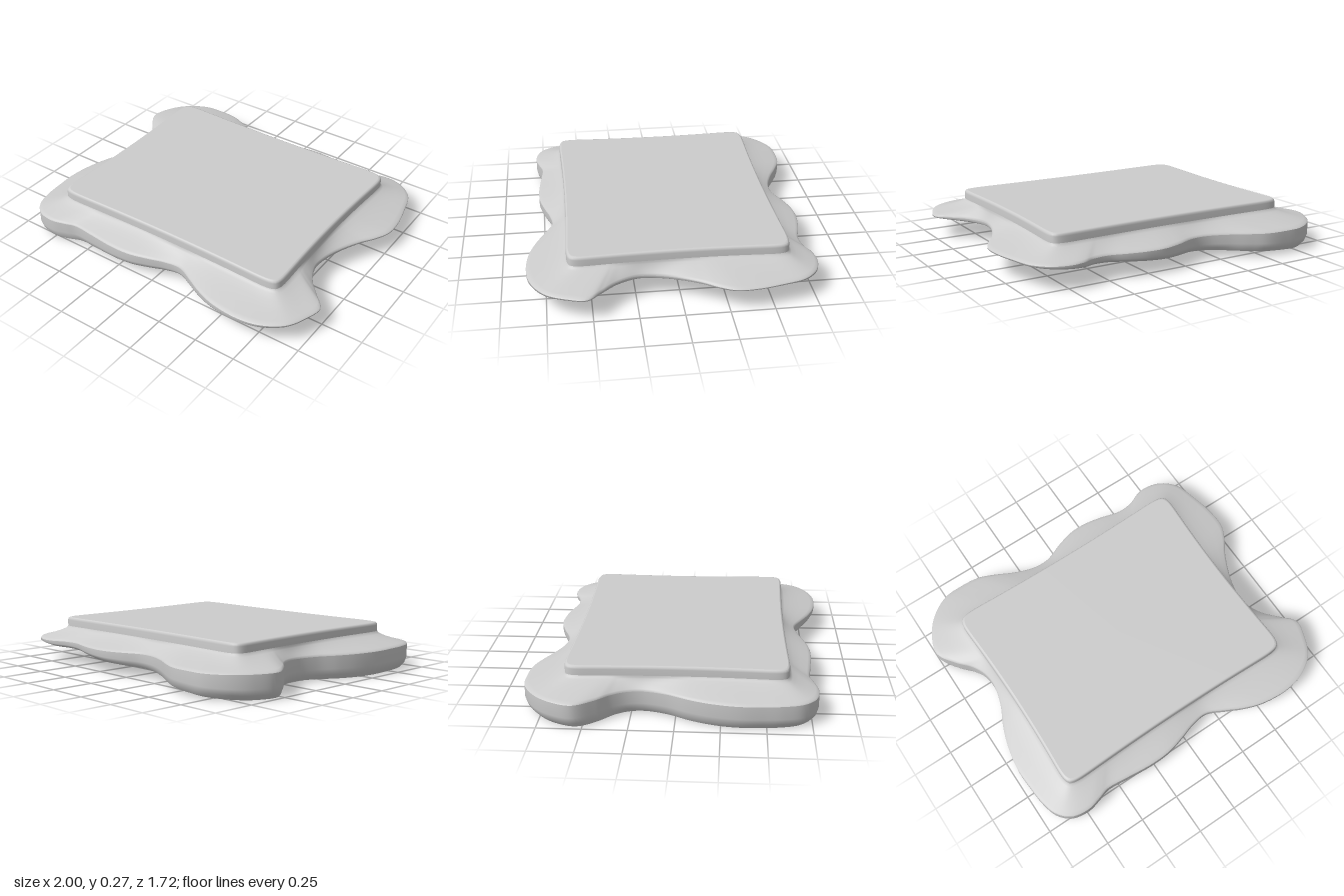
import * as THREE from 'three';

// wavy rim outline, pairs of x, z
const RIM = [
  1, -.28, 1, -.4, .97, -.55, .93, -.68, .85, -.76, .75, -.79, .67, -.78, .6, -.75, .5, -.74, .38, -.77,
  .27, -.79, .16, -.79, .05, -.76, -.08, -.71, -.18, -.71, -.3, -.75, -.42, -.81, -.52, -.85, -.65, -.86, -.76, -.85,
  -.88, -.78, -.96, -.68, -1, -.55, -.93, -.43, -.86, -.35, -.82, -.27, -.81, -.18, -.84, -.05, -.9, .08, -.94, .2,
  -.965, .35, -.96, .5, -.95, .6, -.92, .7, -.85, .77, -.74, .79, -.65, .77, -.58, .75, -.45, .76, -.28, .775,
  -.15, .77, -.03, .74, .07, .71, .17, .7, .28, .75, .38, .8, .5, .84, .67, .855, .8, .83, .92, .75,
  .98, .63, 1, .53, .93, .45, .85, .36, .8, .25, .8, .17, .83, .05, .9, -.1, .96, -.19,
];
const N = 360;

// surface through closed rings, ordered from the top down
function loft(rings) {
  const pos = [], index = [];
  rings.forEach(ring => ring.forEach(p => pos.push(p.x, p.y, p.z)));
  for (let r = 0; r < rings.length - 1; r++) {
    for (let i = 0; i < N; i++) {
      const a = r * N + i, b = r * N + (i + 1) % N;
      index.push(a, b, a + N, b, b + N, a + N);
    }
  }
  const g = new THREE.BufferGeometry();
  g.setAttribute('position', new THREE.Float32BufferAttribute(pos, 3));
  g.setIndex(index);
  g.computeVertexNormals();
  return g;
}

// plate edge in the direction of p: rounded rectangle, slightly pinched mid-side
function plateEdge(p) {
  const u = Math.abs(p.x) / .785, v = Math.abs(p.z) / .635;
  const ratio = Math.min(u, v) / Math.max(u, v);
  const size = Math.pow(u ** 20 + v ** 20, -1 / 20);
  return p.clone().multiplyScalar(size * (1 - .03 * (1 - ratio * ratio)));
}

// sloping underside, higher towards +x
const underY = x => Math.max(0, .062 + .067 * x);

export function createModel() {
  const model = new THREE.Group();
  const grey = new THREE.MeshStandardMaterial({ color: 0xcccccc });
  grey.name = 'light grey';
  const add = (name, geometry) => {
    const mesh = new THREE.Mesh(geometry, grey);
    mesh.name = name;
    model.add(mesh);
    return mesh;
  };

  const points = [];
  for (let i = 0; i < RIM.length; i += 2) points.push(new THREE.Vector3(RIM[i], 0, RIM[i + 1]));
  const rim = new THREE.CatmullRomCurve3(points.reverse(), true).getSpacedPoints(N).slice(0, N);
  const edge = rim.map(plateEdge);
  const plateRing = (s, y) => edge.map(p => new THREE.Vector3(p.x * s, y, p.z * s));
  const skirtRing = (t, y) => edge.map((p, i) => p.clone().lerp(rim[i], t).setY(y));
  // ring on the rim wall; k = 0 at the rim, 1 at the underside
  const wallRing = (s, k) => rim.map(p =>
    new THREE.Vector3(p.x * s, THREE.MathUtils.lerp(.14, underY(p.x * s), k), p.z * s));

  // flat top plate with a softened edge
  add('topPlate', loft([plateRing(0, .27), plateRing(.98, .27)]));
  add('plateEdge', loft([
    plateRing(.98, .27), plateRing(.99, .268), plateRing(.997, .262), plateRing(1, .252), plateRing(1, .215),
  ]));

  // skirt flaring out to the wavy rim
  add('skirt', loft([
    [0, .215], [.03, .206], [.1, .198], [.3, .183], [.6, .166], [.88, .153], [.97, .147], [1, .14],
  ].map(([t, y]) => skirtRing(t, y))));

  // wall under the rim and the sloping base
  add('rimWall', loft([wallRing(1, 0), wallRing(1, .55), wallRing(.99, .8), wallRing(.97, 1)]));
  add('underside', loft([wallRing(.97, 1), wallRing(.5, 1), wallRing(0, 1)]));

  // thin rod emerging from the base
  const rod = add('rod', new THREE.CylinderGeometry(.017, .017, .9, 16));
  rod.rotation.z = Math.PI / 2;
  rod.position.set(.18, .066, .26);
  return model;
}
